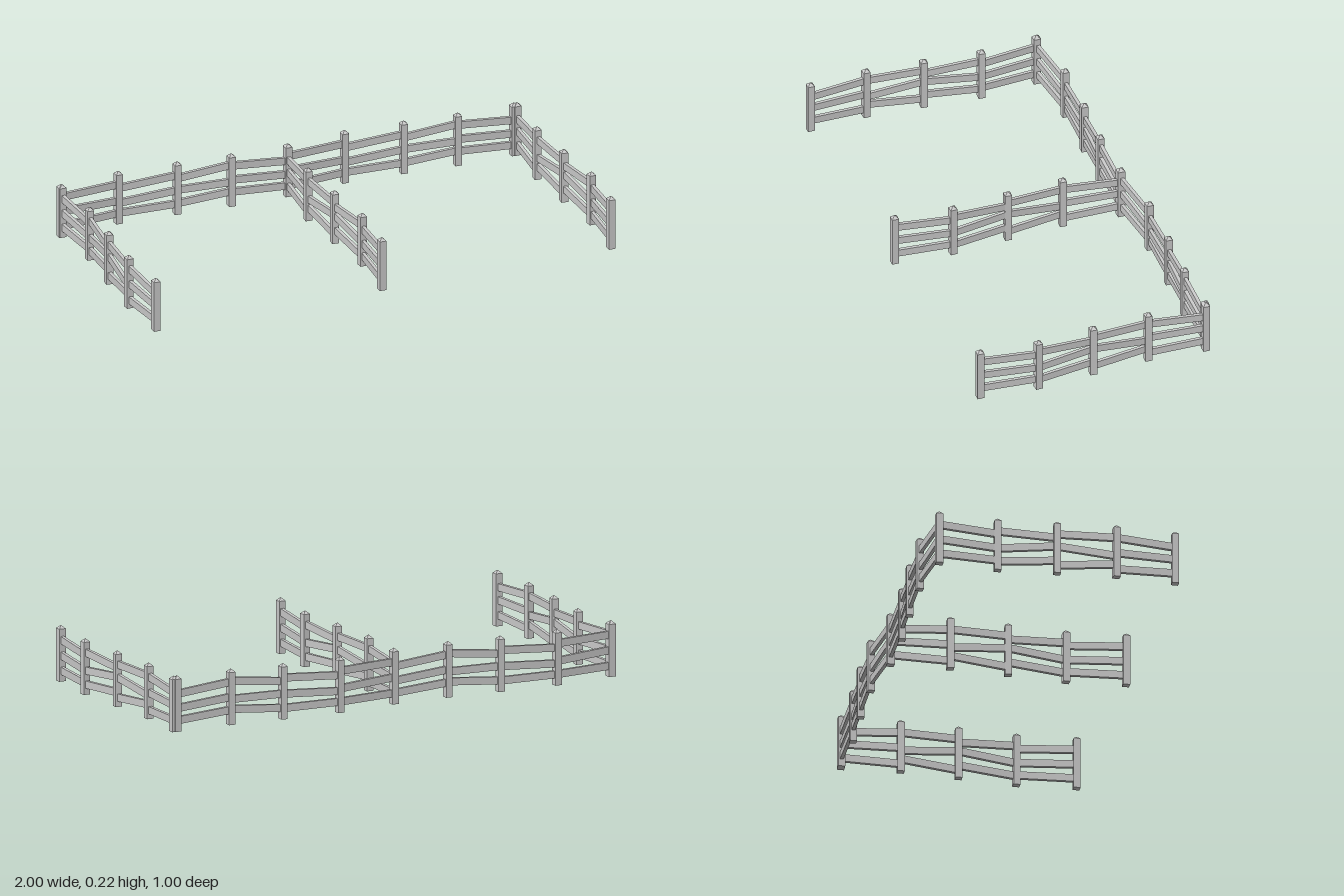
import * as THREE from 'three';

const material = new THREE.MeshStandardMaterial({ color: 0xcccccc, flatShading: true });
const POST = 0.028, SHOULDER = 0.212, PEAK = 0.225;
const RAIL_HEIGHT = 0.03, RAIL_DEPTH = 0.014;

// Square post with a shallow pyramid cap
function makePost([x, z], yaw) {
  const post = new THREE.Group();
  post.name = 'post';
  const shaft = new THREE.Mesh(new THREE.BoxGeometry(POST, SHOULDER, POST), material);
  shaft.name = 'postShaft';
  shaft.position.y = SHOULDER / 2;
  const capShape = new THREE.ConeGeometry(POST / Math.SQRT2, PEAK - SHOULDER, 4, 1, true);
  capShape.rotateY(Math.PI / 4);
  const cap = new THREE.Mesh(capShape, material);
  cap.name = 'postCap';
  cap.position.y = (SHOULDER + PEAK) / 2;
  post.add(shaft, cap);
  post.position.set(x, 0, z);
  post.rotation.y = yaw;
  return post;
}

// Plank running between two points
function makeRail(a, b) {
  const rail = new THREE.Mesh(new THREE.BoxGeometry(RAIL_DEPTH, RAIL_HEIGHT, a.distanceTo(b)), material);
  rail.name = 'rail';
  rail.position.copy(a).add(b).multiplyScalar(0.5);
  rail.lookAt(b);
  return rail;
}

// Run of posts at [x, z], with [startY, endY] of three rails for each gap
function makeFence(name, points, gaps, yaws) {
  const fence = new THREE.Group();
  fence.name = name;
  points.forEach((p, i) => fence.add(makePost(p, yaws[i])));
  gaps.forEach((rails, i) => {
    const [ax, az] = points[i], [bx, bz] = points[i + 1];
    for (const [ya, yb] of rails) {
      fence.add(makeRail(new THREE.Vector3(ax, ya, az), new THREE.Vector3(bx, yb, bz)));
    }
  });
  return fence;
}

// Rail heights (top, middle, bottom) for the back runs, left to right
const backGaps = [
  [[0.169, 0.167], [0.107, 0.096], [0.043, 0.043]],
  [[0.150, 0.166], [0.086, 0.101], [0.043, 0.043]],
  [[0.152, 0.176], [0.102, 0.102], [0.044, 0.062]],
  [[0.172, 0.150], [0.111, 0.092], [0.059, 0.043]],
];
// Rail heights for the side runs, front to back
const sideGaps = [
  [[0.168, 0.158], [0.105, 0.097], [0.044, 0.044]],
  [[0.170, 0.155], [0.096, 0.118], [0.040, 0.056]],
  [[0.170, 0.170], [0.118, 0.092], [0.036, 0.056]],
  [[0.170, 0.157], [0.105, 0.105], [0.035, 0.045]],
];

export function createModel() {
  const model = new THREE.Group();
  model.name = 'paddockFence';

  // Two matching runs along the back
  const backPoints = [[0, -0.459], [0.254, -0.485], [0.501, -0.475], [0.725, -0.46], [0.964, -0.459]];
  const backYaws = [0, 0.03, -0.05, -0.03, 0];
  [-0.974, -0.01].forEach((x0, i) => {
    const points = backPoints.map(([x, z]) => [x0 + x, z]);
    model.add(makeFence(i ? 'rightBackFence' : 'leftBackFence', points, backGaps, backYaws));
  });

  // Three side runs; the outer one on -x has its order reversed
  const zs = [0.485, 0.248, 0.013, -0.221, -0.457];
  const offsets = [0, 0.018, 0, -0.014, 0];
  const yaws = [0, 0.05, -0.07, -0.05, 0];
  const reversedGaps = sideGaps.map(g => g.map(([a, b]) => [b, a])).reverse();
  const runs = [['sideFenceA', -0.972, true], ['middleFence', -0.01, false], ['sideFenceB', 0.966, false]];
  for (const [name, x, reversed] of runs) {
    const shift = reversed ? [...offsets].reverse() : offsets;
    const points = zs.map((z, i) => [x + shift[i], z]);
    model.add(makeFence(name, points, reversed ? reversedGaps : sideGaps, yaws));
  }
  return model;
}
